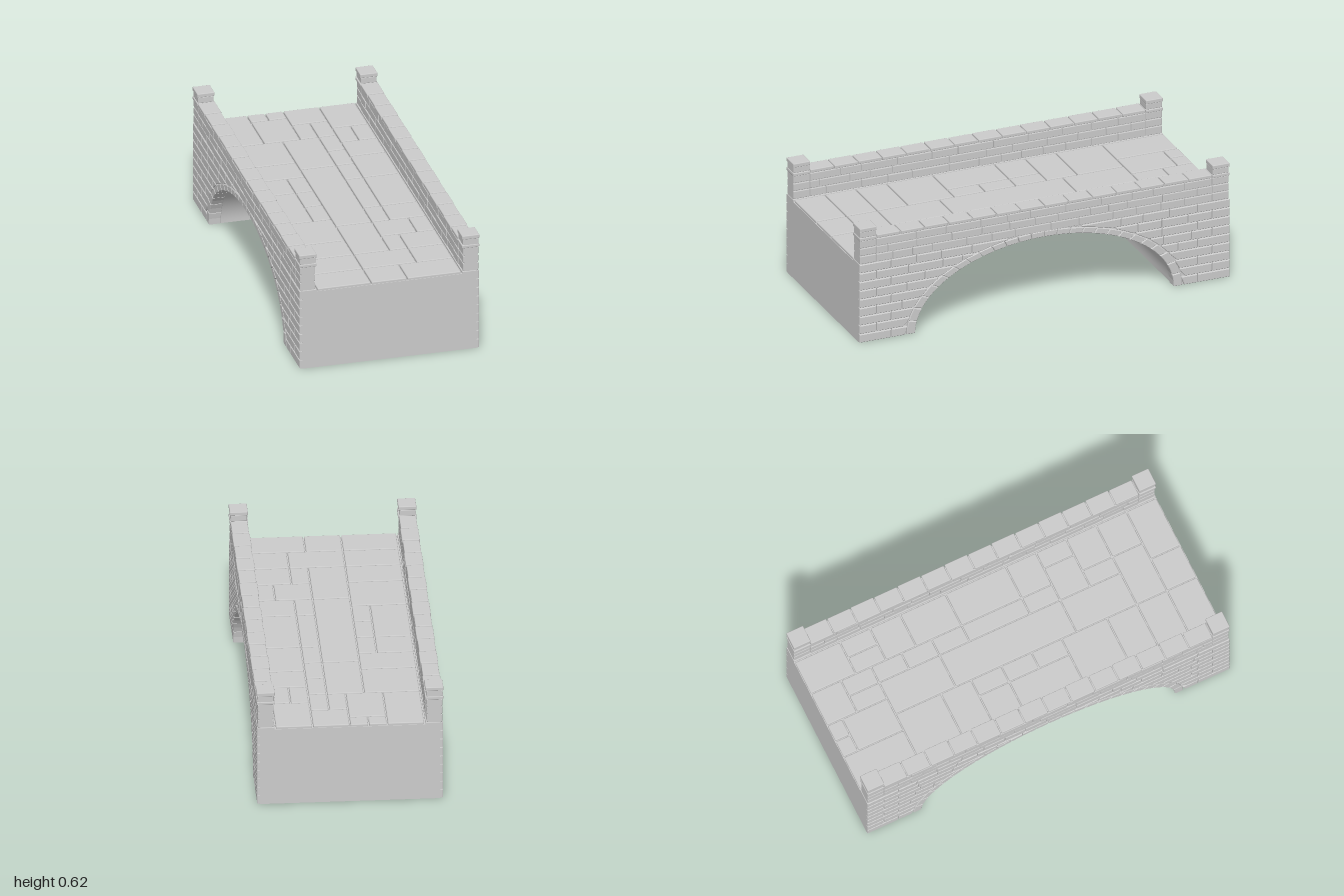
import * as THREE from 'three';
import { mergeGeometries, toCreasedNormals } from 'three/addons/utils/BufferGeometryUtils.js';
import { RoundedBoxGeometry } from 'three/addons/geometries/RoundedBoxGeometry.js';

const stone = new THREE.MeshStandardMaterial({ color: 0xcccccc });

// Outer and inner half-axes of the arch ring
const OUT = { a: 0.745, b: 0.432 }, IN = { a: 0.70, b: 0.402 };
const ringY = z => Math.abs(z) < OUT.a ? OUT.b * Math.sqrt(1 - (z / OUT.a) ** 2) : 0;
const ringZ = y => y < OUT.b ? OUT.a * Math.sqrt(1 - (y / OUT.b) ** 2) : 0;

let seed = 7;
const rnd = () => (seed = (seed * 16807) % 2147483647) / 2147483647;

function add(group, name, geometries) {
  const mesh = new THREE.Mesh(mergeGeometries(geometries), stone);
  mesh.name = name;
  group.add(mesh);
}

// Extrude a (z, y) outline along x, with a small chamfer inside its bounds
function extrudeX(points, x0, x1, bevel = 0.003) {
  const shape = new THREE.Shape(points.map(p => new THREE.Vector2(p[0], p[1])));
  const geo = new THREE.ExtrudeGeometry(shape, {
    depth: x1 - x0 - 2 * bevel, bevelEnabled: true, bevelSegments: 1,
    bevelSize: bevel, bevelThickness: bevel, bevelOffset: -bevel,
  });
  return geo.rotateY(-Math.PI / 2).translate(x1 - bevel, 0, 0);
}

function block(x0, x1, y0, y1, z0, z1, r = 0.003) {
  return new RoundedBoxGeometry(x1 - x0, y1 - y0, z1 - z0, 1, r)
    .translate((x0 + x1) / 2, (y0 + y1) / 2, (z0 + z1) / 2);
}

// Outline of a wall brick, its lower edge trimmed to the arch ring
function brickOutline(z0, z1, y0, y1) {
  const n = ringY(z0) > y0 ? 6 : 1;
  const pts = [];
  for (let i = 0; i <= n; i++) {
    const z = z0 + (z1 - z0) * i / n;
    pts.push([z, Math.max(y0, ringY(z) + 0.002)]);
  }
  return [...pts, [z1, y1], [z0, y1]];
}

// Brick lengths from one end to the other
function layCourse(from, to, first, fn) {
  let z = from, length = first;
  while (to - z > 0.02) {
    let next = z + length;
    if (to - next < 0.05) next = to;
    fn(z, next);
    z = next;
    length = 0.10 + 0.1 * rnd();
  }
}

// x range on a given side of the bridge
const span = (side, a, b) => side > 0 ? [a, b] : [-b, -a];

function buildCore(group) {
  const s = new THREE.Shape();
  s.moveTo(-1, 0);
  s.lineTo(-0.705, 0);
  s.absellipse(0, 0, 0.705, 0.408, Math.PI, 0, true);
  s.lineTo(1, 0);
  s.lineTo(1, 0.418);
  s.lineTo(-1, 0.418);
  const geo = new THREE.ExtrudeGeometry(s, { depth: 0.896, bevelEnabled: false, curveSegments: 32 });
  geo.rotateY(-Math.PI / 2).translate(0.448, 0, 0);
  add(group, 'archCore', [toCreasedNormals(geo, 0.5)]);
}

function buildSpandrel(group, side) {
  const bricks = [], h = 0.428 / 9, gap = 0.004;
  const [x0, x1] = span(side, 0.435, 0.463);
  for (let row = 0; row < 9; row++) {
    const y0 = row * h + gap / 2, y1 = (row + 1) * h - gap / 2;
    const inner = ringZ(y1 - 0.01);
    for (const end of [-1, 1]) {
      layCourse(-1, -inner, row % 2 ? 0.09 : 0.17, (a, b) => {
        const z0 = a === -1 ? a : a + gap, z1 = b;
        // mirrored bricks keep their lower edge sampled along the ring
        const outline = brickOutline(-z1, -z0, y0, y1).map(([z, y]) => [z * end, y]);
        bricks.push(extrudeX(outline, x0, x1));
      });
    }
  }
  add(group, 'spandrelBricks', bricks);
}

function buildArchRing(group, side) {
  const count = 26, stones = [];
  const curve = new THREE.EllipseCurve(0, 0, IN.a, IN.b, 0, Math.PI);
  const [x0, x1] = span(side, 0.40, 0.463);
  const at = (u, outer) => {
    const p = curve.getPointAt(Math.min(1, Math.max(0, u)));
    return outer ? [p.x * OUT.a / IN.a, p.y * OUT.b / IN.b] : [p.x, p.y];
  };
  for (let i = 0; i < count; i++) {
    const u0 = (i + 0.025) / count, u1 = (i + 0.975) / count, um = (u0 + u1) / 2;
    stones.push(extrudeX([at(u0), at(u0, true), at(um, true), at(u1, true), at(u1), at(um)], x0, x1));
  }
  add(group, 'archRing', stones);
}

function buildParapet(group, side) {
  const [c0, c1] = span(side, 0.386, 0.455);
  const [p0, p1] = span(side, 0.376, 0.450);
  add(group, 'parapetCore', [
    block(c0, c1, 0.42, 0.568, -0.98, 0.98),
    block(p0, p1, 0.411, 0.429, -1, 1),
  ]);

  const bricks = [], rows = [0.430, 0.474, 0.516, 0.559];
  for (let r = 0; r < 3; r++) {
    layCourse(-0.908, 0.908, r % 2 ? 0.08 : 0.15, (a, b) => {
      const [x0, x1] = span(side, 0.378 + 0.003 * rnd(), 0.463 - 0.003 * rnd());
      bricks.push(block(x0, x1, rows[r], rows[r + 1] - 0.004, a + 0.002, b - 0.002));
    });
  }
  add(group, 'parapetBricks', bricks);

  // Coping stones along the top
  const coping = [], n = 14, pitch = 1.816 / n;
  for (let i = 0; i < n; i++) {
    const z = -0.908 + i * pitch;
    const [x0, x1] = span(side, 0.375 + 0.003 * (i % 2), 0.464 - 0.002 * (i % 2));
    coping.push(block(x0, x1, 0.558, 0.576, z + 0.003, z + pitch - 0.003, 0.004));
  }
  add(group, 'coping', coping);
}

function buildPillar(group, side, end) {
  const parts = [];
  // [inner x, outer x, bottom, top, z length]
  const layers = [
    [0.381, 0.460, 0.429, 0.471, 0.088], [0.381, 0.460, 0.474, 0.513, 0.088],
    [0.381, 0.460, 0.516, 0.556, 0.088], [0.374, 0.465, 0.556, 0.573, 0.092],
    [0.380, 0.461, 0.572, 0.605, 0.087], [0.375, 0.465, 0.604, 0.625, 0.092],
    [0.386, 0.455, 0.420, 0.610, 0.084],
  ];
  for (const [a, b, y0, y1, len] of layers) {
    const [x0, x1] = span(side, a, b);
    const inset = len > 0.09 ? 0 : 0.003;
    const [z0, z1] = span(end, 1 - inset - len, 1 - inset);
    parts.push(block(x0, x1, y0, y1, z0, z1, 0.004));
  }
  add(group, 'endPillar', parts);
}

function buildPaving(group) {
  // Stones as column ranges with row breaks
  const strips = [
    [-4, -2, [0, 4]], [-4, -1, [4, 7, 9]], [-4, -2, [9, 11, 15]], [-4, -1, [15, 18, 20, 22, 24]],
    [-2, -1, [0, 1]], [-2, 0, [1, 4]], [-2, -1, [9, 11, 13, 15]], [-1, 0, [0, 1]],
    [-1, 1, [4, 8, 16, 20]], [0, 2, [0, 2]], [0, 1, [2, 4]], [1, 2, [2, 4, 6, 8, 10, 14, 16]],
    [1, 3, [16, 18]], [1, 2, [18, 20]], [-1, 2, [20, 22]], [-1, 1, [22, 24]], [1, 4, [22, 24]],
    [2, 4, [0, 3]], [2, 3, [3, 5]], [3, 4, [3, 5]], [2, 4, [5, 7, 10, 14, 16]],
    [3, 4, [16, 18]], [2, 4, [18, 20, 22]],
  ];
  const slabs = [], g = 0.003, cw = 0.093;
  for (const [c0, c1, rows] of strips) {
    for (let i = 0; i + 1 < rows.length; i++) {
      const z0 = rows[i] / 12 - 1, z1 = rows[i + 1] / 12 - 1;
      slabs.push(block(c0 * cw + g, c1 * cw - g, 0.411, 0.431,
        Math.max(-1, z0 + g), Math.min(1, z1 - g), 0.005));
    }
  }
  add(group, 'pavingSlabs', slabs);
}

export function createModel() {
  const bridge = new THREE.Group();
  bridge.name = 'stoneBridge';
  buildCore(bridge);
  buildPaving(bridge);
  for (const side of [1, -1]) {
    const wall = new THREE.Group();
    wall.name = side > 0 ? 'leftWall' : 'rightWall';
    buildSpandrel(wall, side);
    buildArchRing(wall, side);
    buildParapet(wall, side);
    for (const end of [1, -1]) buildPillar(wall, side, end);
    bridge.add(wall);
  }
  return bridge;
}
